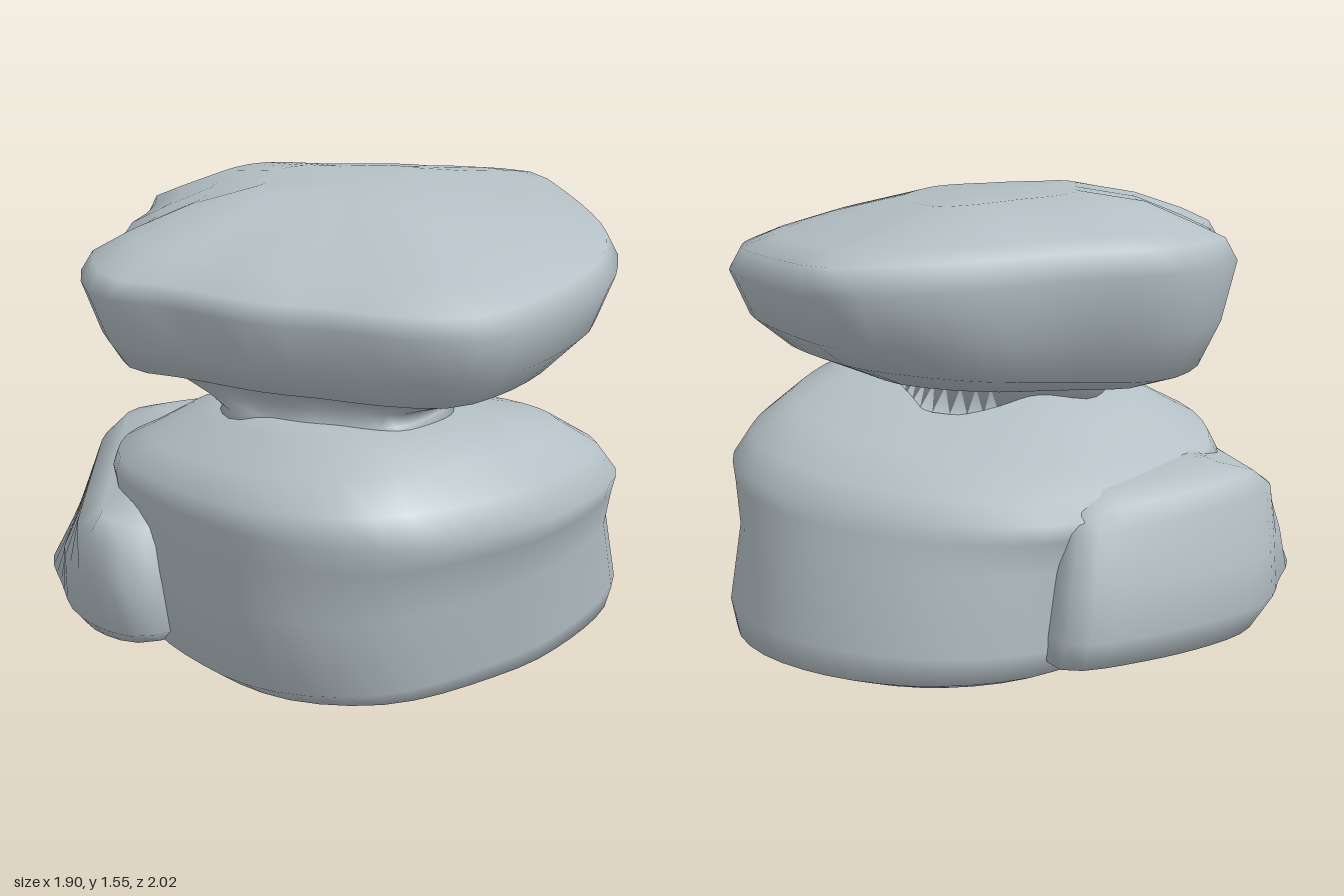
import * as THREE from 'three';

const SIDES = 48;

// Lofts a closed outline (clockwise from above, [x, z]) through levels:
// [sx, sz, dx, dz, y, tiltX, tiltZ, bowZ, cut], scaled about a centre.
// cut planes off the front corner on the -x side, where z - x exceeds it.
function stone(name, material, outline, [cx, cz], levels) {
  const curve = new THREE.CatmullRomCurve3(
    outline.map(([x, z]) => new THREE.Vector3(x, 0, z)), true, 'centripetal');
  const ring = curve.getSpacedPoints(SIDES).slice(0, SIDES);
  const pos = [], index = [];
  for (const [sx, sz, dx, dz, y, tx = 0, tz = 0, bow = 0, cut = 9] of levels) {
    for (const p of ring) {
      let x = cx + dx + (p.x - cx) * sx;
      let z = cz + dz + (p.z - cz) * sz;
      const over = Math.max(0, z - x - cut) / 2;
      x += over;
      z -= over;
      pos.push(x, y + tx * x + tz * z + bow * z * z, z);
    }
  }
  for (let l = 0; l < levels.length - 1; l++) {
    for (let i = 0; i < SIDES; i++) {
      const j = (i + 1) % SIDES;
      const a = l * SIDES, b = a + SIDES;
      index.push(a + i, b + i, b + j, a + i, b + j, a + j);
    }
  }
  // caps close the bottom and top rings with a centre point
  const cap = (l, top) => {
    const start = l * SIDES, c = pos.length / 3;
    const mid = [0, 0, 0];
    for (let i = 0; i < SIDES; i++)
      for (let k = 0; k < 3; k++) mid[k] += pos[(start + i) * 3 + k] / SIDES;
    pos.push(...mid);
    for (let i = 0; i < SIDES; i++) {
      const j = (i + 1) % SIDES;
      index.push(c, start + (top ? j : i), start + (top ? i : j));
    }
  };
  cap(0, false);
  cap(levels.length - 1, true);
  const geometry = new THREE.BufferGeometry();
  geometry.setAttribute('position', new THREE.Float32BufferAttribute(pos, 3));
  geometry.setIndex(index);
  geometry.computeVertexNormals();
  const mesh = new THREE.Mesh(geometry, material);
  mesh.name = name;
  return mesh;
}

export function createModel() {
  const group = new THREE.Group();
  group.name = 'stackedRocks';
  const rock = new THREE.MeshStandardMaterial({ color: 0xb4c0c5 });
  rock.name = 'greyRock';

  // broad base boulder
  group.add(stone('baseStone', rock, [
    [0.1, -0.81], [0.5, -0.76], [0.77, -0.57], [0.94, -0.04], [0.94, 0.25],
    [0.84, 0.66], [0.63, 0.86], [0.42, 0.93], [0.2, 0.93], [-0.1, 0.88],
    [-0.4, 0.75], [-0.64, 0.45], [-0.7, 0.1], [-0.6, -0.42], [-0.3, -0.7],
  ], [0.1, 0.05], [
    [0.5, 0.5, 0, 0, 0.015, 0, 0.03],
    [0.73, 0.82, 0, -0.02, 0.03, 0, 0.04],
    [0.83, 0.92, 0, -0.05, 0.07, 0, 0.02],
    [0.88, 0.97, 0, -0.01, 0.15],
    [0.89, 0.94, 0, 0.04, 0.4],
    [0.96, 0.92, 0, 0.06, 0.53, 0.03, 0.03],
    [1, 0.91, 0, 0.07, 0.6, 0.03, 0.05],
    [0.94, 0.87, 0, 0.1, 0.67, 0.06, 0.05],
    [0.82, 0.72, 0, 0.13, 0.74, 0.1, 0.04],
    [0.64, 0.48, 0.02, 0.18, 0.81, 0.09, 0.06],
    [0.4, 0.35, 0.02, 0.2, 0.85, 0.05, 0.05],
  ]));

  // slab leaning round the front corner of the base
  group.add(stone('sideSlab', rock, [
    [-0.6, -0.46], [-0.4, -0.3], [-0.2, 0.2], [0, 0.6], [0.01, 0.88],
    [-0.06, 0.99], [-0.3, 1], [-0.55, 0.88], [-0.8, 0.72], [-0.89, 0.47],
    [-0.95, 0.25], [-0.8, -0.2],
  ], [-0.4, 0.3], [
    [0.7, 0.82, 0, -0.03, 0.13, 0.06],
    [0.88, 0.95, 0, -0.03, 0.15, 0.07],
    [1, 1, 0, 0, 0.2],
    [0.96, 0.97, 0, 0.02, 0.36, 0, 0, 0, 1.4],
    [0.9, 0.93, 0, 0.04, 0.48, -0.09, 0, 0, 1.3],
    [0.83, 0.86, 0, 0.04, 0.53, -0.11, 0, 0, 1.18],
    [0.65, 0.7, 0, 0.02, 0.58, -0.1, 0, 0, 1],
    [0.4, 0.45, 0, 0, 0.61, -0.08],
  ]));

  // overhanging top boulder with its narrow neck and notched shoulder
  group.add(stone('topStone', rock, [
    [-0.08, -1.01], [0.18, -0.9], [0.6, -0.62], [0.72, -0.47], [0.83, -0.28],
    [0.92, 0.15], [0.9, 0.4], [0.72, 0.57], [0.5, 0.68], [0.35, 0.78],
    [0, 0.89], [-0.18, 0.97], [-0.47, 0.79], [-0.48, 0.68], [-0.6, 0.53],
    [-0.7, 0.34], [-0.79, 0.28], [-0.83, 0.1], [-0.81, -0.1],
    [-0.57, -0.43], [-0.42, -0.72], [-0.27, -0.9],
  ], [0, 0], [
    [0.53, 0.42, 0.13, 0.22, 0.8, 0.05],
    [0.47, 0.37, 0.12, 0.24, 0.88, 0.04],
    [0.54, 0.46, 0.07, 0.18, 0.93, 0.02],
    [0.7, 0.62, 0.02, 0.08, 0.945, 0.03, -0.01, 0.12],
    [0.83, 0.82, 0, 0.05, 0.99, 0.02, -0.035, 0.11],
    [0.94, 0.92, 0, 0.01, 1.13, -0.02, -0.03, 0.02],
    [1, 1, 0, 0, 1.31, -0.05, -0.03],
    [0.95, 0.96, 0, 0, 1.38, -0.06, -0.045],
    [0.83, 0.82, 0, 0, 1.425, -0.06, -0.03],
    [0.64, 0.6, 0, 0, 1.485, -0.08, -0.01, -0.03],
    [0.35, 0.35, -0.02, 0, 1.53, -0.06, 0.01],
  ]));

  return group;
}
